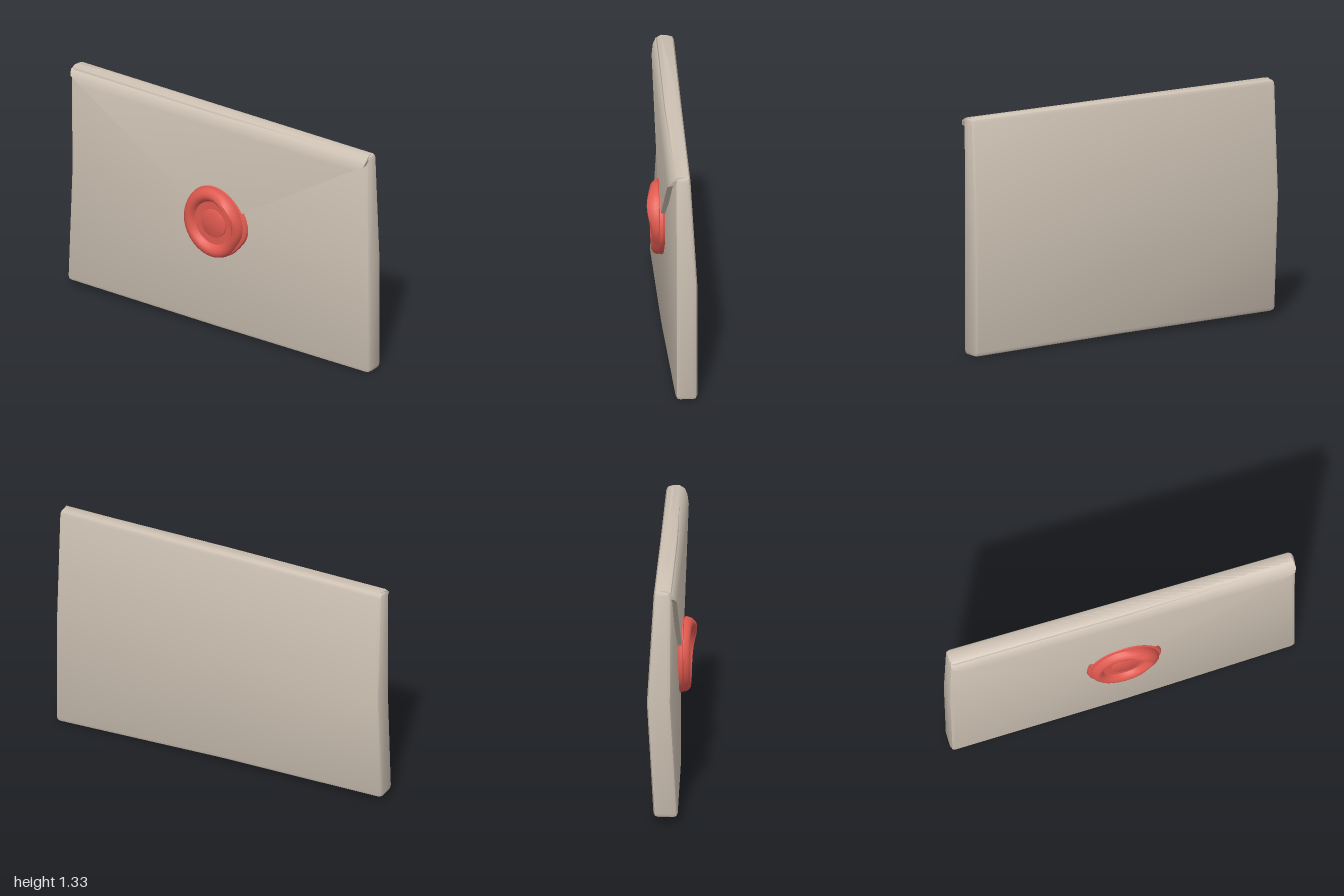
import * as THREE from 'three';
import { toCreasedNormals } from 'three/addons/utils/BufferGeometryUtils.js';

const paper = new THREE.MeshStandardMaterial({ color: 0xcdc1b3 });
paper.name = 'paper';
const wax = new THREE.MeshStandardMaterial({ color: 0xe05a50 });
wax.name = 'redWax';

const TOP = 1.335, MID = 0.69, EDGE = 0.025;

// x of each face on a 3 x 3 grid: rows bottom, middle, top; columns z = -1, 0, 1
const plainFace = [[0.08, 0.085, 0.12], [0.12, 0.085, 0.12], [0.08, 0.08, 0.08]];
const sealFace = [[-0.055, -0.035, 0], [-0.015, -0.025, 0], [-0.02, -0.02, -0.005]];

function sample(grid, y, z) {
  const v = y < MID ? y / MID : 1 + (y - MID) / (TOP - MID);
  const r = Math.min(1, Math.floor(v)), c = z < 0 ? 0 : 1;
  const fv = v - r, fz = z + 1 - c;
  const row = (i) => THREE.MathUtils.lerp(grid[i][c], grid[i][c + 1], fz);
  return THREE.MathUtils.lerp(row(r), row(r + 1), fv);
}

// Warped box with softened edges
function envelopeBody() {
  const geo = new THREE.BoxGeometry(3, 4, 4, 3, 4, 4);
  const p = geo.attributes.position;
  for (let i = 0; i < p.count; i++) {
    const ix = Math.round(p.getX(i) + 1.5), iy = Math.round(p.getY(i) + 2), iz = Math.round(p.getZ(i) + 2);
    const extremes = (ix % 3 === 0) + (iy % 4 === 0) + (iz % 4 === 0);
    const pull = EDGE * [0, 0, 0.3, 0.42][extremes];
    const inset = (k, last) => (k === 0 || k === last ? pull : EDGE);
    const zs = [-1 + inset(iz, 4), -1 + EDGE, 0, 1 - EDGE, 1 - inset(iz, 4)];
    const z = zs[iz];
    const bottom = 0.015 * (1 - z);
    const ys = [bottom + inset(iy, 4), bottom + EDGE, MID, TOP - EDGE, TOP - inset(iy, 4)];
    const y = ys[iy];
    const lo = sample(sealFace, y, z), hi = sample(plainFace, y, z);
    p.setXYZ(i, ix < 2 ? lo + inset(ix, 3) : hi - inset(ix, 3), y, z);
  }
  return toCreasedNormals(geo, 0.6);
}

// Triangular flap folded over the top edge, lofted from rows of [x, y, half width]
function envelopeFlap() {
  const rows = [
    [0.05, TOP, 0.98], [0.01, TOP, 0.99], [-0.02, 1.315, 0.995],
    [-0.035, 1.285, 0.985], [-0.045, 1.25, 0.92], [-0.045, 0.66, 0.005],
  ];
  const pos = [], index = [];
  rows.forEach(([x, y, w], i) => {
    const back = i < 2 ? [x, y - 0.03] : [x + 0.03, y];
    pos.push(...back, -w, x, y, -w, x, y, w, ...back, w);
    if (i === 0) return;
    for (let k = 0; k < 3; k++) {
      const a = (i - 1) * 4 + k, b = a + 4;
      index.push(a, b, a + 1, a + 1, b, b + 1);
    }
  });
  const geo = new THREE.BufferGeometry();
  geo.setAttribute('position', new THREE.Float32BufferAttribute(pos, 3));
  geo.setIndex(index);
  return toCreasedNormals(geo, 0.6);
}

// Lathe turned to face -x, with its outline and height varied around the circle
function waxShape(profile, outline, lump) {
  const geo = new THREE.LatheGeometry(profile.map(([r, h]) => new THREE.Vector2(r, h)), 48);
  geo.rotateZ(Math.PI / 2);
  const p = geo.attributes.position;
  for (let i = 0; i < p.count; i++) {
    const y = p.getY(i), z = p.getZ(i), r = Math.hypot(y, z), a = Math.atan2(z, y);
    const blend = THREE.MathUtils.smoothstep(r, 0.1, 0.17);
    const s = 1 + blend * (outline(a) - 1);
    p.setXYZ(i, p.getX(i) * (1 + blend * lump(a)), y * s, z * s);
  }
  return toCreasedNormals(geo, 0.7);
}

const bump = (a, centre, width) => {
  const d = Math.atan2(Math.sin(a - centre), Math.cos(a - centre));
  return Math.exp(-(d * d) / (width * width));
};

function waxSeal() {
  const seal = new THREE.Group();
  seal.name = 'waxSeal';
  const add = (name, geo) => {
    const mesh = new THREE.Mesh(geo, wax);
    mesh.name = name;
    seal.add(mesh);
  };
  // Thin spread of wax under the ring
  add('waxSpread', waxShape(
    [[0.205, 0], [0.215, 0.012], [0.21, 0.028], [0.19, 0.036], [0, 0.036]],
    (a) => 1 + 0.03 * Math.cos(3 * a + 0.4) - 0.1 * bump(a, 2.2, 0.45), () => 0));
  // Swollen ring around the stamped hollow
  add('waxRing', waxShape(
    [[0.195, 0.015], [0.203, 0.035], [0.195, 0.055], [0.178, 0.068], [0.16, 0.07],
      [0.145, 0.063], [0.134, 0.05], [0.128, 0.038], [0, 0.038]],
    (a) => 1 + 0.03 * Math.cos(2 * a) - 0.1 * bump(a, 2.2, 0.45),
    (a) => 0.42 * bump(a, 0.8, 0.7)));
  // Raised round centre
  add('stampDisc', waxShape(
    [[0.085, 0.03], [0.082, 0.046], [0.078, 0.048], [0, 0.048]], () => 1, () => 0));
  seal.position.set(-0.022, 0.67, -0.003);
  return seal;
}

export function createModel() {
  const model = new THREE.Group();
  model.name = 'sealedEnvelope';
  const body = new THREE.Mesh(envelopeBody(), paper);
  body.name = 'envelopeBody';
  const flapPaper = paper.clone();
  const flap = new THREE.Mesh(envelopeFlap(), paper);
  flap.name = 'envelopeFlap';
  flapPaper.dispose();
  model.add(body, flap, waxSeal());
  return model;
}
